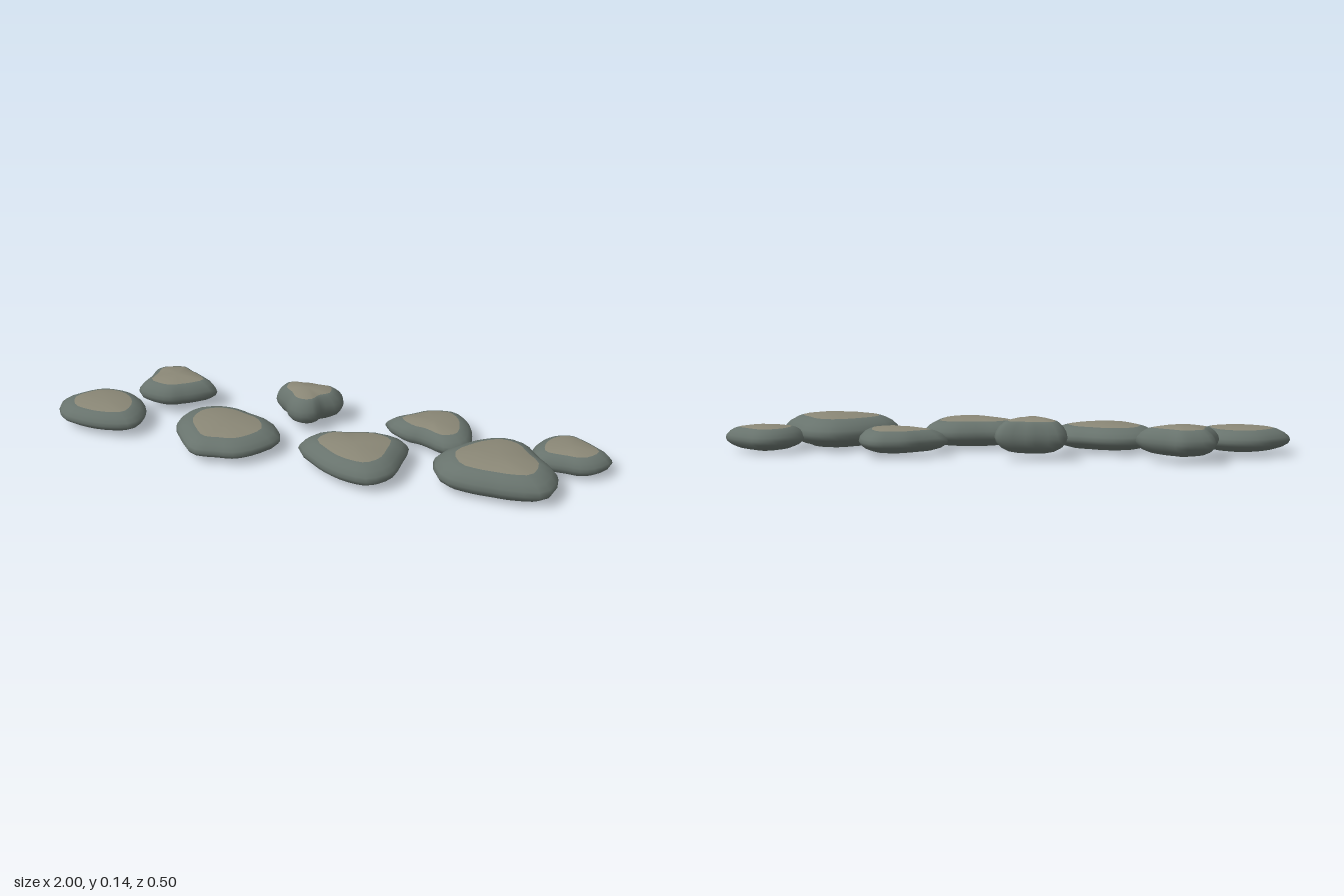
import * as THREE from 'three';

const SEGMENTS = 28;

// Side profile of every stone: [share of the outline radius, share of the height]
const PROFILE = [
  [0, 0], [0.4, 0.02], [0.66, 0.08], [0.85, 0.19], [0.96, 0.32], [1, 0.46],
  [0.97, 0.6], [0.88, 0.75], [0.76, 0.86], [0.66, 0.91], [0.36, 0.98], [0, 1],
];
const CAP_RING = 9; // the pale worn top starts here

// box: x min/max, z min/max, y min/max; radii: outline every 30 degrees from +x towards +z
const STONES = [
  { box: [-1, -0.67, -0.075, 0.15, 0.01, 0.1], radii: [27, 28, 22, 20, 22, 29, 31, 25, 23, 22, 23, 25] },
  { box: [-0.745, -0.46, -0.255, -0.05, 0.02, 0.125], radii: [28, 20, 17, 19, 22, 28, 22, 24, 20, 19, 16, 19] },
  { box: [-0.54, -0.15, 0.22, -0.07, 0.005, 0.1], radii: [37, 31, 28, 26, 31, 31, 36, 36, 30, 26, 25, 32] },
  { box: [-0.23, 0.02, -0.225, -0.05, 0.02, 0.145], radii: [23, 15, 18, 19, 18, 16, 22, 23, 15, 14, 15, 24] },
  { box: [-0.075, 0.305, 0.025, 0.25, 0.005, 0.11], radii: [31, 32, 31, 26, 25, 28, 38, 32, 22, 22, 28, 36] },
  { box: [0.19, 0.51, -0.235, -0.005, 0.01, 0.1], radii: [26, 29, 24, 16, 15, 22, 33, 22, 20, 20, 24, 25] },
  { box: [0.4, 0.83, -0.1, 0.205, 0, 0.122], radii: [38, 39, 28, 24, 27, 37, 40, 32, 30, 32, 32, 30] },
  { box: [0.72, 1, -0.19, 0, 0.005, 0.095], radii: [26, 22, 18, 15, 17, 25, 23, 21, 20, 19, 17, 19] },
];
STONES[2].box[2] = -0.07;
STONES[2].box[3] = 0.22;
STONES[4].box[2] = -0.025;

// Smooth closed outline, with the stone's centre at the origin
function outlineOf(radii) {
  const corners = radii.map((r, i) => {
    const a = (i / radii.length) * Math.PI * 2;
    return new THREE.Vector3(r * Math.cos(a), 0, r * Math.sin(a));
  });
  const curve = new THREE.CatmullRomCurve3(corners, true);
  return Array.from({ length: SEGMENTS }, (_, i) => curve.getPoint(i / SEGMENTS));
}

function makeStone({ box, radii }, bodyMaterial, capMaterial) {
  const [x0, x1, z0, z1, y0, y1] = box;
  const outline = outlineOf(radii);
  const bounds = new THREE.Box3().setFromPoints(outline);
  const fitX = (x) => THREE.MathUtils.mapLinear(x, bounds.min.x, bounds.max.x, x0, x1);
  const fitZ = (z) => THREE.MathUtils.mapLinear(z, bounds.min.z, bounds.max.z, z0, z1);

  // Rings of vertices, with a single vertex at each pole
  const positions = [];
  const last = PROFILE.length - 1;
  PROFILE.forEach(([s, t], j) => {
    const ring = j === 0 || j === last ? [outline[0]] : outline;
    for (const p of ring) positions.push(fitX(p.x * s), y0 + t * (y1 - y0), fitZ(p.z * s));
  });
  const id = (j, i) => {
    if (j === 0) return 0;
    return 1 + (j - 1) * SEGMENTS + (j === last ? 0 : i % SEGMENTS);
  };
  const bandIndices = (from, to) => {
    const index = [];
    for (let j = from; j < to; j++) {
      for (let i = 0; i < SEGMENTS; i++) {
        if (j < last - 1) index.push(id(j, i), id(j + 1, i), id(j + 1, i + 1));
        if (j > 0) index.push(id(j, i), id(j + 1, i + 1), id(j, i + 1));
      }
    }
    return index;
  };

  // Normals come from the whole stone so that body and cap shade as one surface
  const whole = new THREE.BufferGeometry();
  whole.setAttribute('position', new THREE.Float32BufferAttribute(positions, 3));
  whole.setIndex(bandIndices(0, last));
  whole.computeVertexNormals();

  const part = (name, from, to, material) => {
    const geometry = whole.clone();
    geometry.setIndex(bandIndices(from, to));
    const mesh = new THREE.Mesh(geometry, material);
    mesh.name = name;
    return mesh;
  };
  const stone = new THREE.Group();
  stone.add(part('stoneBody', 0, CAP_RING, bodyMaterial), part('stoneTop', CAP_RING, last, capMaterial));
  return stone;
}

export function createModel() {
  const model = new THREE.Group();
  model.name = 'steppingStones';
  const bodyMaterial = new THREE.MeshStandardMaterial({ color: 0x68736d });
  const capMaterial = new THREE.MeshStandardMaterial({ color: 0x8a8776 });
  STONES.forEach((spec, i) => {
    const stone = makeStone(spec, bodyMaterial, capMaterial);
    stone.name = `stone${i + 1}`;
    model.add(stone);
  });
  return model;
}
